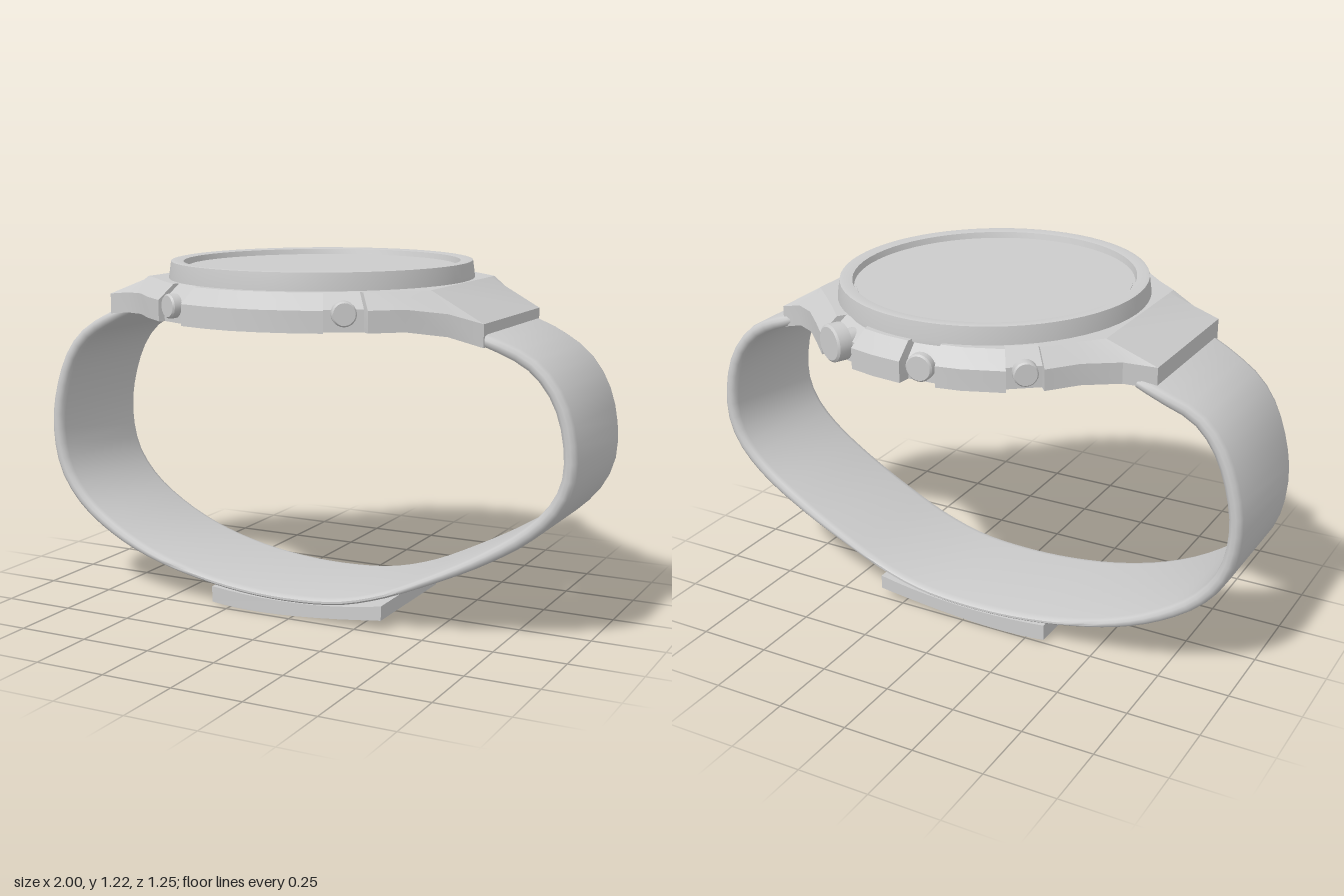
import * as THREE from 'three';
import { toCreasedNormals } from 'three/addons/utils/BufferGeometryUtils.js';

const material = new THREE.MeshStandardMaterial({ color: 0xcccccc, side: THREE.DoubleSide });

function addMesh(parent, name, geometry) {
  const mesh = new THREE.Mesh(geometry, material);
  mesh.name = name;
  parent.add(mesh);
  return mesh;
}

// Skins a list of closed rings (arrays of Vector3), skipping collapsed triangles
function loft(rings, crease) {
  const pos = [];
  const tri = (a, b, c) => {
    if (a.distanceTo(b) < 1e-6 || b.distanceTo(c) < 1e-6 || c.distanceTo(a) < 1e-6) return;
    for (const p of [a, b, c]) pos.push(p.x, p.y, p.z);
  };
  for (let i = 0; i < rings.length - 1; i++) {
    const n = rings[i].length;
    for (let j = 0; j < n; j++) {
      const k = (j + 1) % n;
      const a = rings[i][j], b = rings[i][k], c = rings[i + 1][k], d = rings[i + 1][j];
      tri(a, d, c);
      tri(a, c, b);
    }
  }
  const geometry = new THREE.BufferGeometry();
  geometry.setAttribute('position', new THREE.Float32BufferAttribute(pos, 3));
  geometry.computeVertexNormals();
  return toCreasedNormals(geometry, crease);
}

// Case outline in plan (x, z) with notches for the buttons
function caseGeometry() {
  const front = [
    [0.7, 0.26], [0.6, 0.31], [0.5, 0.41], [0.41, 0.49], [0.385, 0.465], [0.275, 0.53],
    [0.29, 0.555], [0.2, 0.59], [0.1, 0.615], [0, 0.625], [-0.1, 0.615], [-0.2, 0.59],
    [-0.21, 0.55], [-0.32, 0.5], [-0.33, 0.52], [-0.42, 0.45], [-0.5, 0.37], [-0.6, 0.3], [-0.7, 0.26],
  ];
  const back = [
    [-0.7, -0.25], [-0.6, -0.29], [-0.5, -0.38], [-0.425, -0.475], [-0.405, -0.45], [-0.315, -0.52],
    [-0.33, -0.545], [-0.2, -0.595], [-0.12, -0.61], [-0.115, -0.58], [-0.01, -0.585], [-0.005, -0.63],
    [0.1, -0.62], [0.19, -0.6], [0.2, -0.56], [0.325, -0.51], [0.345, -0.54], [0.42, -0.46],
    [0.5, -0.38], [0.6, -0.3], [0.7, -0.26],
  ];
  const outline = [...front, ...back];
  const lug = (x) => Math.max(0, (Math.abs(x) - 0.54) / 0.16);
  const ring = (fn) => outline.map(([x, z]) => new THREE.Vector3(...fn(x, z)));
  const inset = (x) => THREE.MathUtils.clamp(x * 0.91, -0.53, 0.53);
  return loft([
    ring(() => [0, 1.05, 0]),
    ring((x, z) => [inset(x), 1.05, z * 0.91]),
    ring((x, z) => [x, 1.05 - lug(x) * (x > 0 ? 0.055 : 0.02), z]),
    ring((x, z) => [x, 1.12 - lug(x) * (x > 0 ? 0.05 : 0.02), z]),
    ring((x, z) => [inset(x), 1.17, z * 0.91]),
    ring(() => [0, 1.17, 0]),
  ], 0.35);
}

// Strap: rounded flat section swept around the wrist from lug to lug
function strapGeometry() {
  const path = new THREE.CatmullRomCurve3([
    [-0.64, 1.045], [-0.72, 1.01], [-0.84, 0.945], [-0.91, 0.86], [-0.962, 0.72], [-0.978, 0.59],
    [-0.95, 0.44], [-0.87, 0.325], [-0.74, 0.23], [-0.59, 0.16], [-0.4, 0.107], [-0.2, 0.077],
    [0, 0.07], [0.18, 0.085], [0.34, 0.13], [0.5, 0.2], [0.69, 0.298], [0.85, 0.405],
    [0.94, 0.505], [0.976, 0.61], [0.96, 0.77], [0.915, 0.87], [0.85, 0.94], [0.76, 0.99], [0.64, 1.035],
  ].map(([x, y]) => new THREE.Vector3(x, y, 0)));
  const steps = 64, rings = [];
  for (let i = 0; i <= steps; i++) {
    const u = i / steps;
    const p = path.getPointAt(u), t = path.getTangentAt(u);
    const side = Math.abs(p.x);
    const h = 0.012 + 0.011 * THREE.MathUtils.smoothstep(side, 0.3, 0.9);
    const end = Math.min(u, 1 - u);
    const w = 0.24 + 0.025 * (1 - THREE.MathUtils.smoothstep(end, 0.015, 0.06));
    const section = [
      [0.3, -w], [0.8, -w + 0.008], [1, -w + 0.025], [1, w - 0.025], [0.8, w - 0.008], [0.3, w],
      [-0.3, w], [-0.8, w - 0.008], [-1, w - 0.025], [-1, -w + 0.025], [-0.8, -w + 0.008], [-0.3, -w],
    ];
    rings.push(section.map(([n, z]) => new THREE.Vector3(p.x + t.y * n * h, p.y - t.x * n * h, z - 0.01)));
  }
  return loft(rings, 0.9);
}

// Clasp: curved plate under the strap
function claspGeometry() {
  const shape = new THREE.Shape();
  shape.moveTo(-0.32, 0.018);
  shape.quadraticCurveTo(-0.1, -0.012, 0.34, 0.045);
  shape.lineTo(0.34, 0.095);
  shape.quadraticCurveTo(0.02, 0.035, -0.32, 0.075);
  shape.closePath();
  const geometry = new THREE.ExtrudeGeometry(shape, { depth: 0.475, bevelEnabled: false, curveSegments: 10 });
  geometry.translate(0, 0, -0.247);
  return toCreasedNormals(geometry, 0.5);
}

// Button: chamfered cap on a stem, pointing along +y before placement
function addButton(parent, name, x, y, z, r, length) {
  const profile = [[0, -0.08], [r * 0.55, -0.08], [r * 0.55, -length / 2], [r, -length / 2],
    [r, length / 2 - 0.006], [r * 0.88, length / 2], [0, length / 2]].map(([a, b]) => new THREE.Vector2(a, b));
  const button = addMesh(parent, name, toCreasedNormals(new THREE.LatheGeometry(profile, 20), 0.5));
  button.position.set(x, y, z);
  button.quaternion.setFromUnitVectors(new THREE.Vector3(0, 1, 0), new THREE.Vector3(x, 0, z).normalize());
}

export function createModel() {
  const watch = new THREE.Group();
  watch.name = 'wristwatch';

  addMesh(watch, 'case', caseGeometry());
  addMesh(watch, 'strap', strapGeometry());
  addMesh(watch, 'clasp', claspGeometry());

  // Bezel ring and recessed screen, slightly oval
  const bezelProfile = [[1, 1.16], [1, 1.172], [0.985, 1.228], [0.965, 1.23], [0.905, 1.226], [0.895, 1.205], [0.87, 1.205]];
  const bezel = addMesh(watch, 'bezel', toCreasedNormals(
    new THREE.LatheGeometry(bezelProfile.map(([r, y]) => new THREE.Vector2(r, y)), 64), 0.4));
  const screen = addMesh(watch, 'screen', new THREE.CylinderGeometry(0.88, 0.88, 0.04, 64));
  screen.position.y = 1.188;
  for (const part of [bezel, screen]) {
    part.scale.set(0.52, 1, 0.547);
    part.position.z = -0.008;
  }

  // Pushers on both sides and the larger crown at the back
  addButton(watch, 'frontRightButton', -0.27, 1.105, 0.535, 0.04, 0.035);
  addButton(watch, 'frontLeftButton', 0.335, 1.108, 0.505, 0.04, 0.035);
  addButton(watch, 'backRightButton', -0.37, 1.105, -0.495, 0.04, 0.035);
  addButton(watch, 'backMiddleButton', -0.065, 1.105, -0.605, 0.045, 0.03);
  addButton(watch, 'crown', 0.265, 1.118, -0.575, 0.062, 0.05);

  return watch;
}
